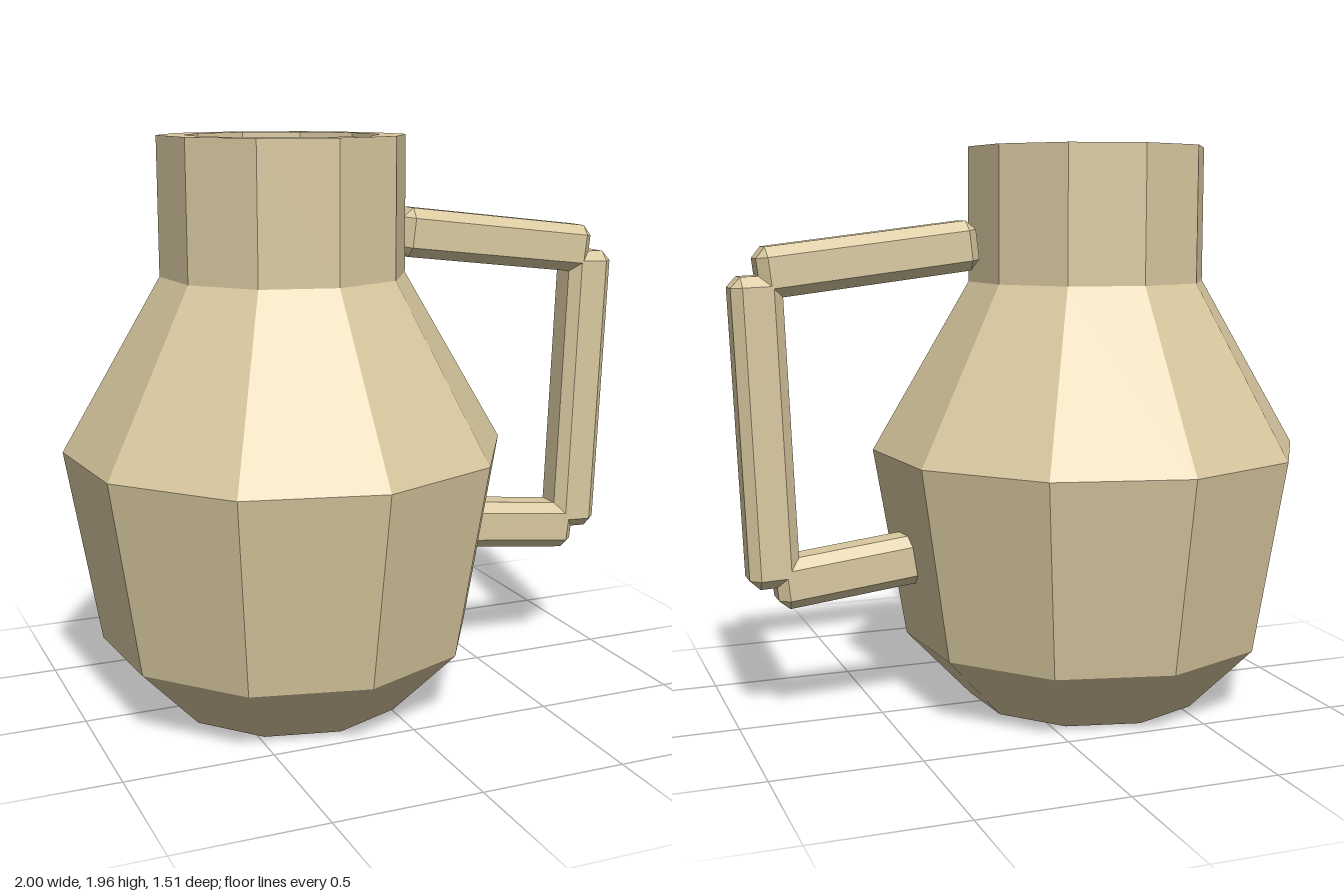
import * as THREE from 'three';
import { ConvexGeometry } from 'three/addons/geometries/ConvexGeometry.js';

const clay = new THREE.MeshStandardMaterial({ color: 0xd9c9a0 });
clay.name = 'clay';

// Box with every edge and corner chamfered, centred on the origin
function chamferedBox(w, h, d, c) {
  const pts = [];
  for (const sx of [-1, 1]) for (const sy of [-1, 1]) for (const sz of [-1, 1]) {
    const x = w / 2, y = h / 2, z = d / 2;
    pts.push(
      new THREE.Vector3(sx * x, sy * (y - c), sz * (z - c)),
      new THREE.Vector3(sx * (x - c), sy * y, sz * (z - c)),
      new THREE.Vector3(sx * (x - c), sy * (y - c), sz * z));
  }
  return new ConvexGeometry(pts);
}

// Handle bar running between two points in the z = 0 plane
function bar(name, x0, y0, x1, y1) {
  const length = Math.hypot(x1 - x0, y1 - y0);
  const mesh = new THREE.Mesh(chamferedBox(length, 0.17, 0.152, 0.034), clay);
  mesh.position.set((x0 + x1) / 2, (y0 + y1) / 2, 0);
  mesh.rotation.z = Math.atan2(y1 - y0, x1 - x0);
  mesh.name = name;
  return mesh;
}

export function createModel() {
  const model = new THREE.Group();
  model.name = 'jug';

  // Ten-sided body: base, belly, shoulder, neck, rim and hollow mouth
  const profile = [
    [0, 0], [0.418, 0], [0.647, 0.235], [0.76, 0.905], [0.418, 1.495],
    [0.418, 1.96], [0.33, 1.96], [0.322, 1.45], [0, 1.45],
  ].map(([r, y]) => new THREE.Vector2(r, y));
  const turned = new THREE.LatheGeometry(profile, 10, THREE.MathUtils.degToRad(4.7));
  const bodyGeometry = turned.toNonIndexed();
  bodyGeometry.computeVertexNormals(); // flat facets
  const body = new THREE.Mesh(bodyGeometry, clay);
  body.position.x = -0.265;
  body.name = 'jugBody';
  model.add(body);

  // Handle of three bars
  const handle = new THREE.Group();
  handle.name = 'handle';
  handle.add(
    bar('handleTop', 0.155, 1.627, 0.907, 1.536),
    bar('handleGrip', 0.914, 1.53, 0.873, 0.49),
    bar('handleBottom', 0.25, 0.566, 0.868, 0.494));
  model.add(handle);

  return model;
}
